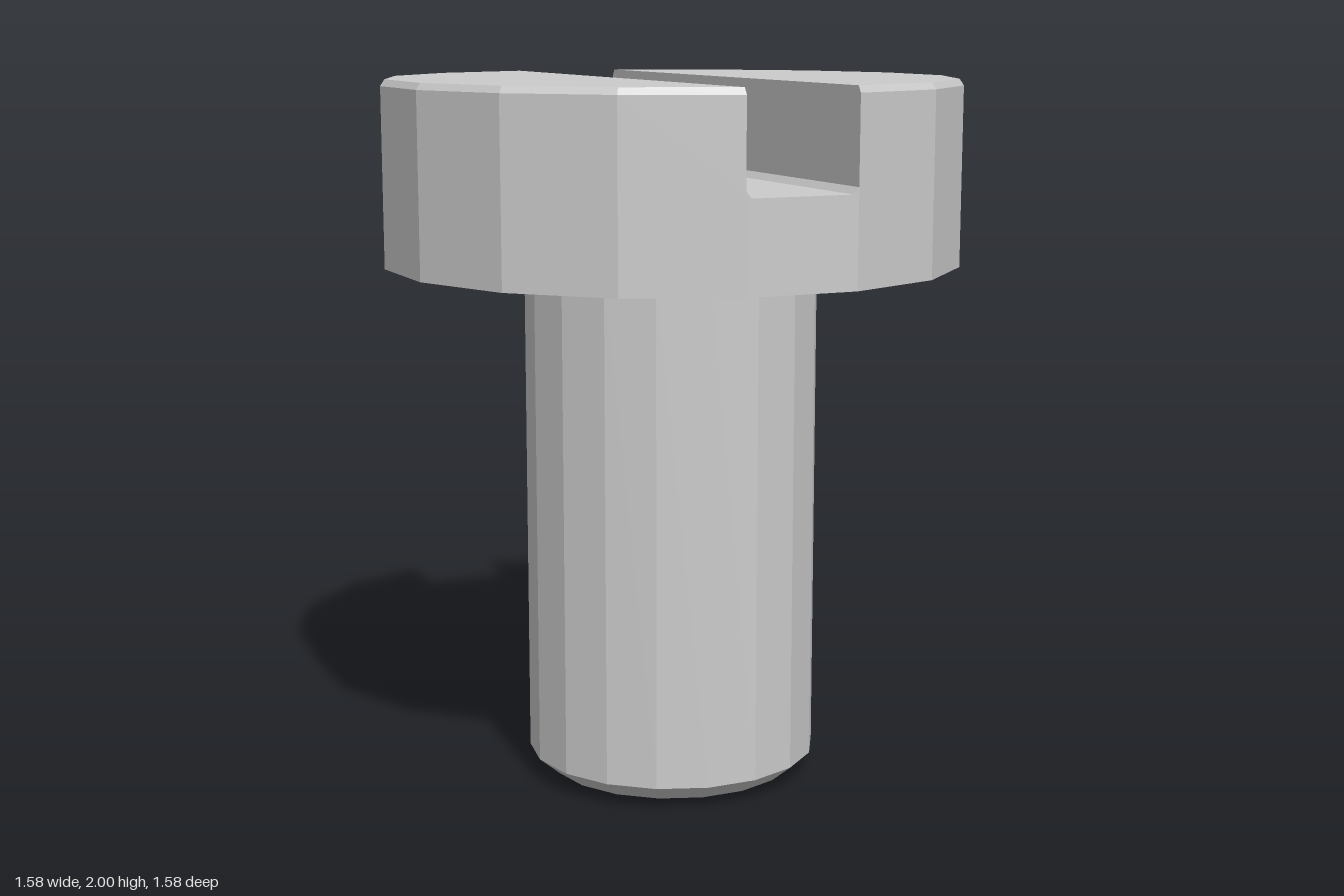
import * as THREE from 'three';

const SIDES = 16;
const HEAD_R = 0.808;
const HALF_SLOT = 0.158;
const HEAD_BOTTOM = 1.485, SLOT_FLOOR = 1.73, TOP = 2;

const material = new THREE.MeshStandardMaterial({ color: 0xcccccc, flatShading: true });

function addMesh(group, name, geometry) {
  const mesh = new THREE.Mesh(geometry, material);
  mesh.name = name;
  group.add(mesh);
  return mesh;
}

// Outline of one head half at height y: a slot corner, eight rim corners, a slot corner
function halfRing(y, radius, slotX) {
  const rim = [];
  for (let i = 0; i < SIDES / 2; i++) {
    const a = ((i + 0.5) * 2 * Math.PI) / SIDES;
    rim.push([Math.max(HALF_SLOT, radius * Math.sin(a)), y, radius * Math.cos(a)]);
  }
  const z = rim[0][2];
  return [[slotX, y, z], ...rim, [slotX, y, -z]];
}

// Skin closed rings from bottom to top and cap the last one
function loft(rings) {
  const n = rings[0].length;
  const index = [];
  for (let r = 0; r < rings.length - 1; r++) {
    for (let i = 0; i < n; i++) {
      const a = r * n + i, b = r * n + ((i + 1) % n);
      index.push(a, b, a + n, b, b + n, a + n);
    }
  }
  const last = (rings.length - 1) * n;
  for (let i = 1; i < n - 1; i++) index.push(last, last + i, last + i + 1);
  const geometry = new THREE.BufferGeometry();
  geometry.setAttribute('position', new THREE.Float32BufferAttribute(rings.flat(2), 3));
  geometry.setIndex(index);
  const flat = geometry.toNonIndexed();
  flat.computeVertexNormals();
  return flat;
}

export function createModel() {
  const model = new THREE.Group();
  model.name = 'slottedScrew';

  // Shaft with a chamfered, slightly domed tip
  const profile = [[0, 0], [0.24, 0.004], [0.355, 0.018], [0.415, 0.068], [0.415, HEAD_BOTTOM]]
    .map(([x, y]) => new THREE.Vector2(x, y));
  addMesh(model, 'shaft', new THREE.LatheGeometry(profile, 18, Math.PI / 2));

  // Lower head, whose top is the slot floor
  const height = SLOT_FLOOR - HEAD_BOTTOM;
  const base = new THREE.CylinderGeometry(HEAD_R, HEAD_R, height, SIDES, 1, false, Math.PI / SIDES);
  base.translate(0, HEAD_BOTTOM + height / 2, 0);
  addMesh(model, 'headBase', base);

  // Two head halves beside the slot: small fillet at the floor, bevelled rim at the top
  const half = loft([
    halfRing(SLOT_FLOOR, HEAD_R, HALF_SLOT - 0.015),
    halfRing(SLOT_FLOOR + 0.018, HEAD_R, HALF_SLOT),
    halfRing(TOP - 0.018, HEAD_R, HALF_SLOT),
    halfRing(TOP, HEAD_R - 0.012, HALF_SLOT),
  ]);
  addMesh(model, 'leftHeadHalf', half);
  addMesh(model, 'rightHeadHalf', half).rotation.y = Math.PI;

  return model;
}
